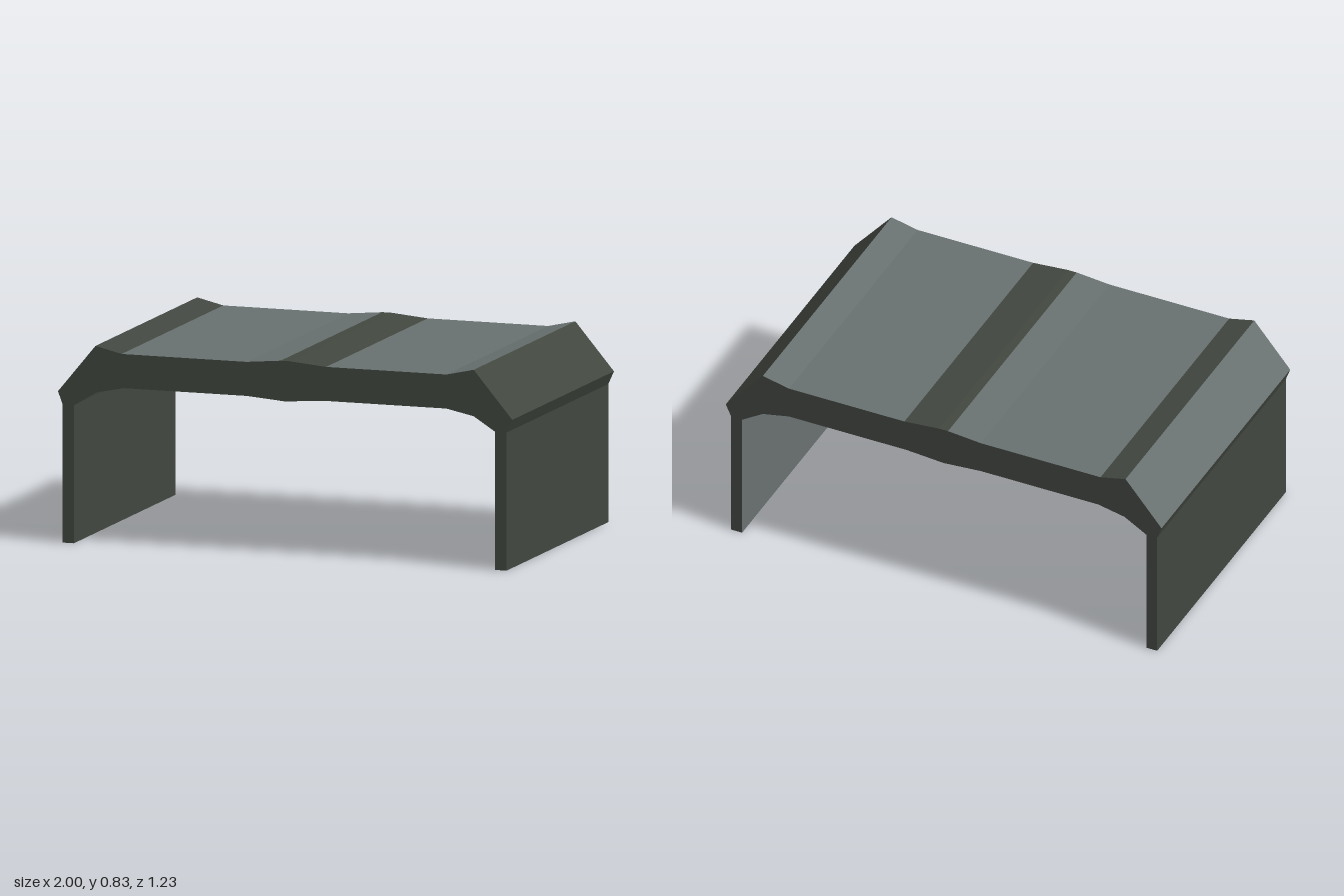
import * as THREE from 'three';

const HALF_DEPTH = 0.615;

export function createModel() {
  const group = new THREE.Group();
  group.name = 'archedCanopy';

  const olive = new THREE.MeshStandardMaterial({ name: 'dark olive', color: 0x424740 });
  const grey = new THREE.MeshStandardMaterial({ name: 'slate grey', color: 0x687170 });

  // Runs of the cross-section, clockwise from the foot of the right wall; each starts where the last ended
  const runs = [
    ['rightOuterWall', olive, [[-0.98, 0], [-0.98, 0.58], [-1, 0.635]]],
    ['rightEave', grey, [[-0.835, 0.835]]],
    ['ridgeStripe', olive, [[-0.72, 0.808]]],
    ['rightRoofPanel', grey, [[-0.17, 0.808], [-0.02, 0.822]]],
    ['middleStripe', olive, [[0.02, 0.822], [0.18, 0.808]]],
    ['leftRoofPanel', grey, [[0.71, 0.808], [0.83, 0.835]]],
    ['leftEave', olive, [[1, 0.635]]],
    ['leftOuterWall', olive, [[0.975, 0.58], [0.975, 0]]],
    ['leftFoot', olive, [[0.925, 0]]],
    ['leftInnerWall', grey, [[0.925, 0.58]]],
    ['ceiling', grey, [[0.83, 0.64], [0.71, 0.665], [0.17, 0.665], [0, 0.652],
      [-0.17, 0.665], [-0.71, 0.665], [-0.83, 0.64], [-0.93, 0.58]]],
    ['rightInnerWall', olive, [[-0.93, 0]]],
    ['rightFoot', olive, [[-0.98, 0]]],
  ];

  const add = (name, geometry, material) => {
    const mesh = new THREE.Mesh(geometry, material);
    mesh.name = name;
    group.add(mesh);
    return mesh;
  };

  // Sweep a run of profile points through the depth, flat shaded
  const sweep = (points) => {
    const v = [];
    for (let i = 0; i < points.length - 1; i++) {
      const [a, b] = [points[i], points[i + 1]];
      const d = HALF_DEPTH;
      v.push(...a, d, ...b, d, ...b, -d, ...a, d, ...b, -d, ...a, -d);
    }
    const g = new THREE.BufferGeometry();
    g.setAttribute('position', new THREE.Float32BufferAttribute(v, 3));
    g.computeVertexNormals();
    return g;
  };

  const outline = [];
  for (const [name, material, points] of runs) {
    const start = outline.length ? [outline[outline.length - 1]] : [];
    add(name, sweep([...start, ...points]), material);
    outline.push(...points);
  }
  outline.pop(); // the last point closes the loop

  // Front and back end faces
  for (const side of [1, -1]) {
    const shape = new THREE.Shape(outline.map(([x, y]) => new THREE.Vector2(x * side, y)));
    const cap = add(side > 0 ? 'frontFace' : 'backFace', new THREE.ShapeGeometry(shape), olive);
    cap.position.z = side * HALF_DEPTH;
    if (side < 0) cap.rotation.y = Math.PI;
  }
  return group;
}
